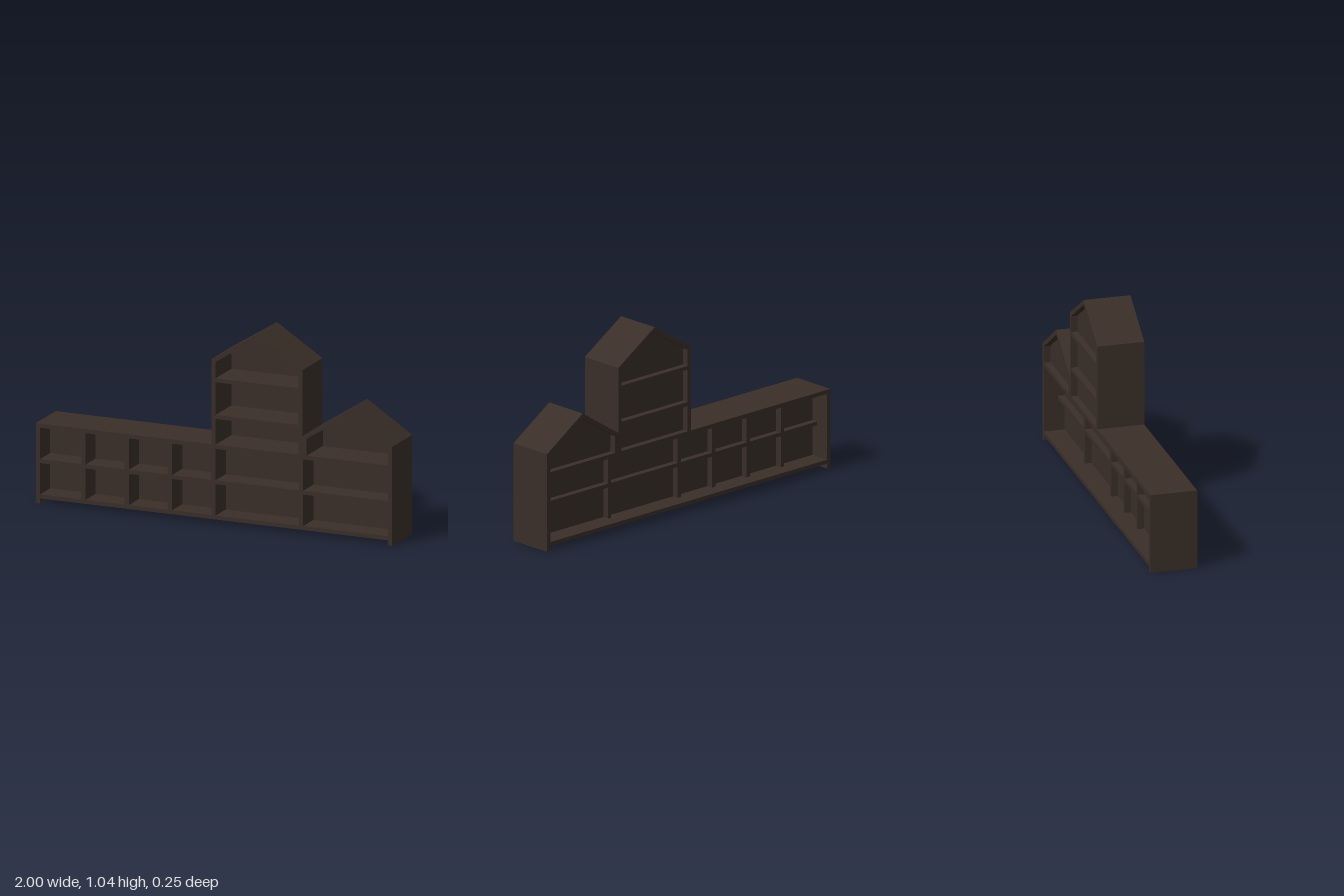
import * as THREE from 'three';

const FRONT = 0.125, BACK = -0.125;
const T = 0.023;            // board thickness
const INNER_BACK = -0.05;   // rear edge of the recessed dividers and shelves
const LOW_PANEL = -0.015;   // rear face of the lower back panels
const HIGH_PANEL = -0.09;   // rear face of the gable back panels

export function createModel() {
  const group = new THREE.Group();
  const wood = new THREE.MeshStandardMaterial({ color: 0x3a2e28 });

  const add = (name, geometry) => {
    const mesh = new THREE.Mesh(geometry, wood);
    mesh.name = name;
    group.add(mesh);
  };

  // Box given by its limits on each axis
  const board = (name, x0, x1, y0, y1, z0 = BACK, z1 = FRONT) => {
    const g = new THREE.BoxGeometry(x1 - x0, y1 - y0, z1 - z0);
    g.translate((x0 + x1) / 2, (y0 + y1) / 2, (z0 + z1) / 2);
    add(name, g);
  };

  // House-shaped outline, inset by t from walls and roof
  const outline = (x0, x1, base, eave, apex, t) => {
    const mid = (x0 + x1) / 2;
    const slope = (apex - eave) / (mid - x0);
    const drop = t * Math.sqrt(1 + slope * slope);
    return [
      [x0 + t, base], [x1 - t, base],
      [x1 - t, eave + slope * t - drop],
      [mid, apex - drop],
      [x0 + t, eave + slope * t - drop],
    ].map(([x, y]) => new THREE.Vector2(x, y));
  };

  const extrude = (shape, z0, z1) => {
    const g = new THREE.ExtrudeGeometry(shape, { depth: z1 - z0, bevelEnabled: false });
    g.translate(0, 0, z0);
    return g;
  };

  // End panels reach the floor and form the feet
  board('rightEndPanel', -1, -1 + T, 0, 0.425);
  board('leftEndPanel', 1 - T, 1, 0, 0.425);

  // Full-depth bottom and top boards
  board('bottomBoard', -1 + T, 1 - T, 0.027, 0.048);
  board('topBoard', -1 + T, 1 - T, 0.403, 0.425);

  // Recessed middle shelf, dividers and lower back panel
  board('middleShelf', -1 + T, 1 - T, 0.215, 0.236, INNER_BACK);
  for (const x of [-0.733, -0.49, -0.247, -0.003, 0.488]) {
    board('divider', x - T / 2, x + T / 2, 0.048, 0.403, INNER_BACK);
  }
  board('lowerBackPanel', -1 + T, 1 - T, 0.048, 0.403, LOW_PANEL, LOW_PANEL + 0.012);

  // Gabled upper cabinets: walls and roof in one frame, with a back panel
  const gables = [
    { name: 'tower', x0: -0.015, x1: 0.497, eave: 0.878, apex: 1.04, shelves: [0.562, 0.757] },
    { name: 'house', x0: 0.497, x1: 1, eave: 0.527, apex: 0.69, shelves: [] },
  ];
  for (const { name, x0, x1, eave, apex, shelves } of gables) {
    const base = 0.425;
    const inner = outline(x0, x1, base, eave, apex, T);
    const outer = outline(x0, x1, base, eave, apex, 0);
    // Walk round the outside, then back along the inside
    const frame = [
      outer[1], outer[2], outer[3], outer[4], outer[0],
      inner[0], inner[4], inner[3], inner[2], inner[1],
    ];
    add(name + 'Frame', extrude(new THREE.Shape(frame), BACK, FRONT));
    add(name + 'BackPanel', extrude(new THREE.Shape(inner), HIGH_PANEL, HIGH_PANEL + 0.012));
    for (const y of shelves) board(name + 'Shelf', x0 + T, x1 - T, y, y + 0.021);
  }

  return group;
}
